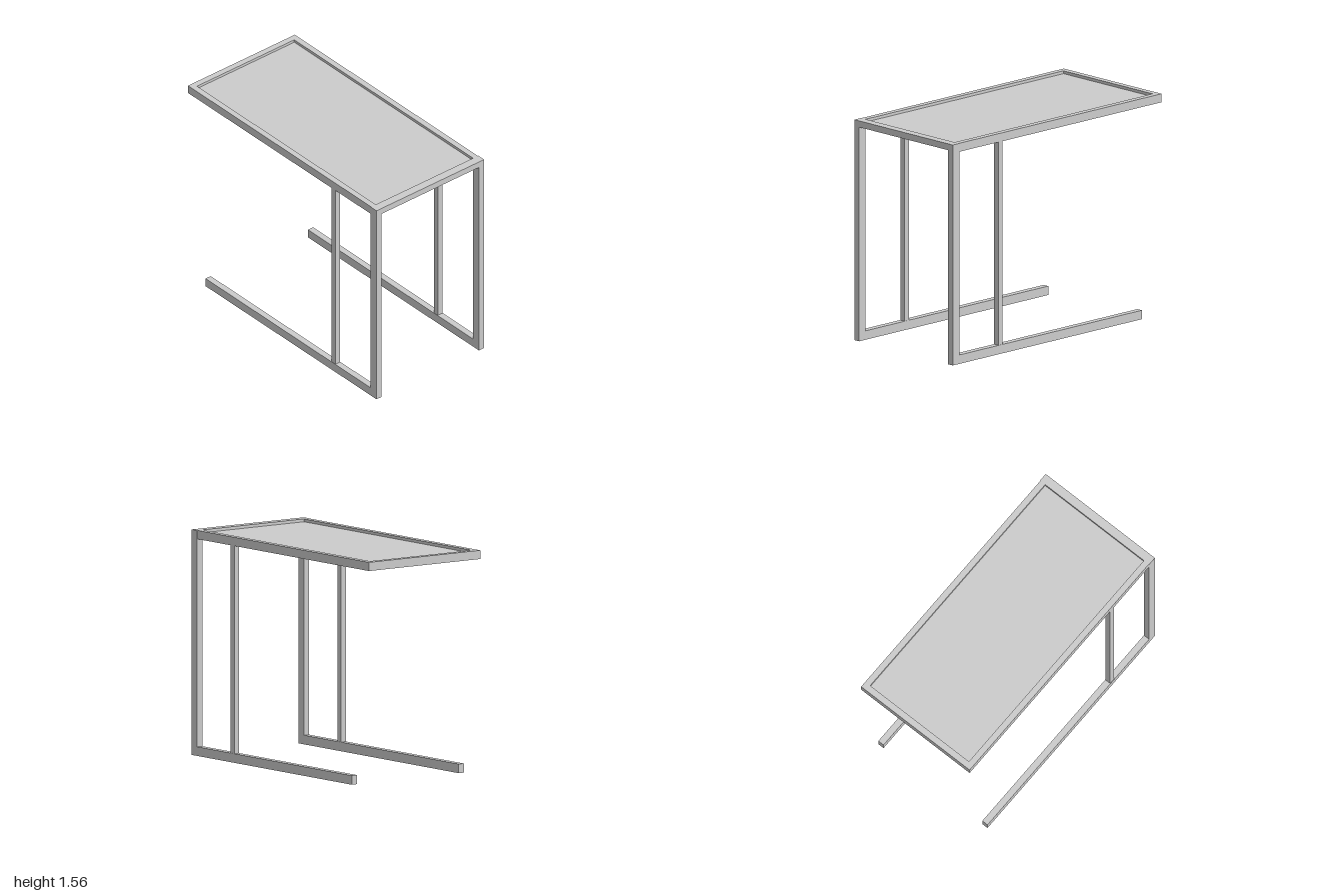
import * as THREE from 'three';

export function createModel() {
  const table = new THREE.Group();
  table.name = 'sideTable';
  const material = new THREE.MeshStandardMaterial({ color: 0xcccccc });

  // Box bar given by its lower and upper corner
  function bar(name, [x0, y0, z0], [x1, y1, z1]) {
    const mesh = new THREE.Mesh(new THREE.BoxGeometry(x1 - x0, y1 - y0, z1 - z0), material);
    mesh.position.set((x0 + x1) / 2, (y0 + y1) / 2, (z0 + z1) / 2);
    mesh.name = name;
    table.add(mesh);
  }

  // Bar repeated on the front and the back, z measured outward
  function pair(name, x0, x1, y0, y1, inner, outer) {
    bar(name + 'Front', [x0, y0, inner], [x1, y1, outer]);
    bar(name + 'Back', [x0, y0, -outer], [x1, y1, -inner]);
  }

  const height = 1.56, under = 1.5, postX = 0.938;
  const inner = 0.437, outer = 0.483, topOuter = 0.48;

  // C-shaped side frames
  pair('post', postX, 1, 0, height, inner, outer);
  pair('foot', -0.81, postX, 0, 0.063, inner, outer);
  pair('topRail', -1, postX, under, height, inner, topOuter);
  pair('brace', 0.52, 0.562, 0.063, under, inner + 0.002, outer - 0.003);

  // Rails closing the top frame at both ends
  bar('freeEndRail', [-1, under, -inner], [-0.955, height, inner]);
  bar('postEndRail', [postX, 1.515, -inner], [1, height, inner]);

  // Table top, recessed in its frame
  bar('topPanel', [-0.955, under + 0.002, -inner], [postX, 1.54, inner]);

  return table;
}
